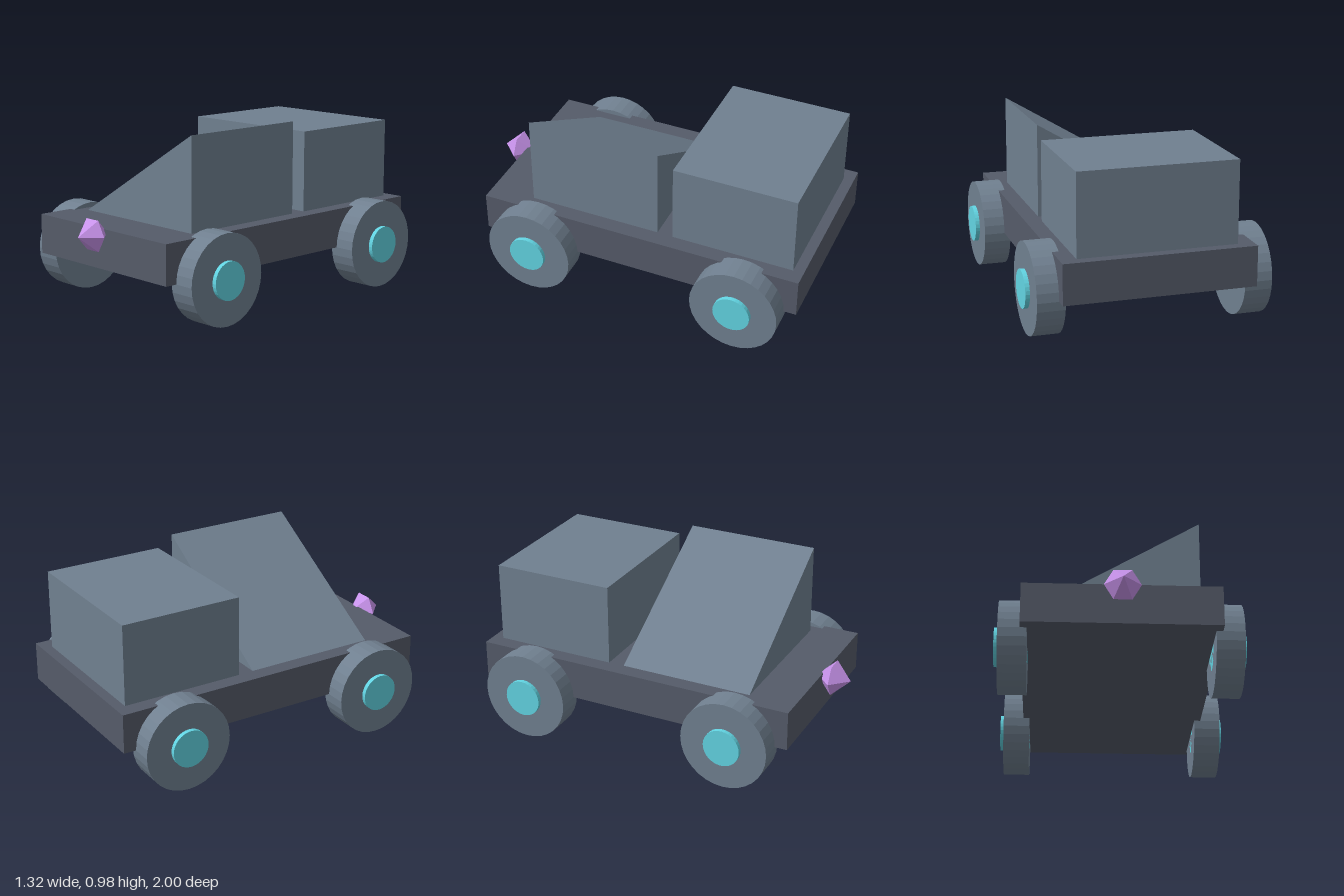
import * as THREE from 'three';

const paint = (color) => new THREE.MeshStandardMaterial({ color, flatShading: true });

export function createModel() {
  const model = new THREE.Group();
  const slate = paint(0x708090);
  const dark = paint(0x555b69);
  const cyan = paint(0x62d4e2);
  const violet = paint(0xc792ea);

  const add = (parent, name, geometry, material, x, y, z) => {
    const mesh = new THREE.Mesh(geometry, material);
    mesh.name = name;
    mesh.position.set(x, y, z);
    parent.add(mesh);
    return mesh;
  };

  // Flat chassis slab and the rear cargo box
  add(model, 'chassis', new THREE.BoxGeometry(1.04, 0.22, 1.85), dark, 0, 0.36, -0.076);
  add(model, 'cargoBox', new THREE.BoxGeometry(0.865, 0.45, 0.69), slate, 0, 0.695, -0.597);

  // Wedge cabin, sloping down from left to right
  const wedge = new THREE.Shape();
  wedge.moveTo(-0.43, 0.47);
  wedge.lineTo(0.43, 0.47);
  wedge.lineTo(0.43, 0.985);
  wedge.closePath();
  const wedgeGeometry = new THREE.ExtrudeGeometry(wedge, { depth: 0.755, bevelEnabled: false });
  add(model, 'wedgeCabin', wedgeGeometry, slate, 0, 0, -0.163);

  // Six-sided pointed gem on the nose
  const gem = new THREE.SphereGeometry(0.097, 6, 2).rotateX(Math.PI / 2);
  add(model, 'noseGem', gem, violet, 0, 0.442, 0.903);

  // Four wheels, each with a hub that stands out on the outer side
  const tyre = new THREE.CylinderGeometry(0.248, 0.248, 0.15, 32).rotateZ(Math.PI / 2);
  const hub = new THREE.CylinderGeometry(0.104, 0.104, 0.174, 32).rotateZ(Math.PI / 2);
  for (const [end, z] of [['front', 0.533], ['rear', -0.684]]) {
    for (const [side, s] of [['Left', 1], ['Right', -1]]) {
      const wheel = new THREE.Group();
      wheel.name = `${end}${side}Wheel`;
      wheel.position.set(s * 0.56, 0.25, z);
      add(wheel, 'tyre', tyre, slate, 0, 0, 0);
      add(wheel, 'hub', hub, cyan, s * 0.012, 0, 0);
      model.add(wheel);
    }
  }
  return model;
}
